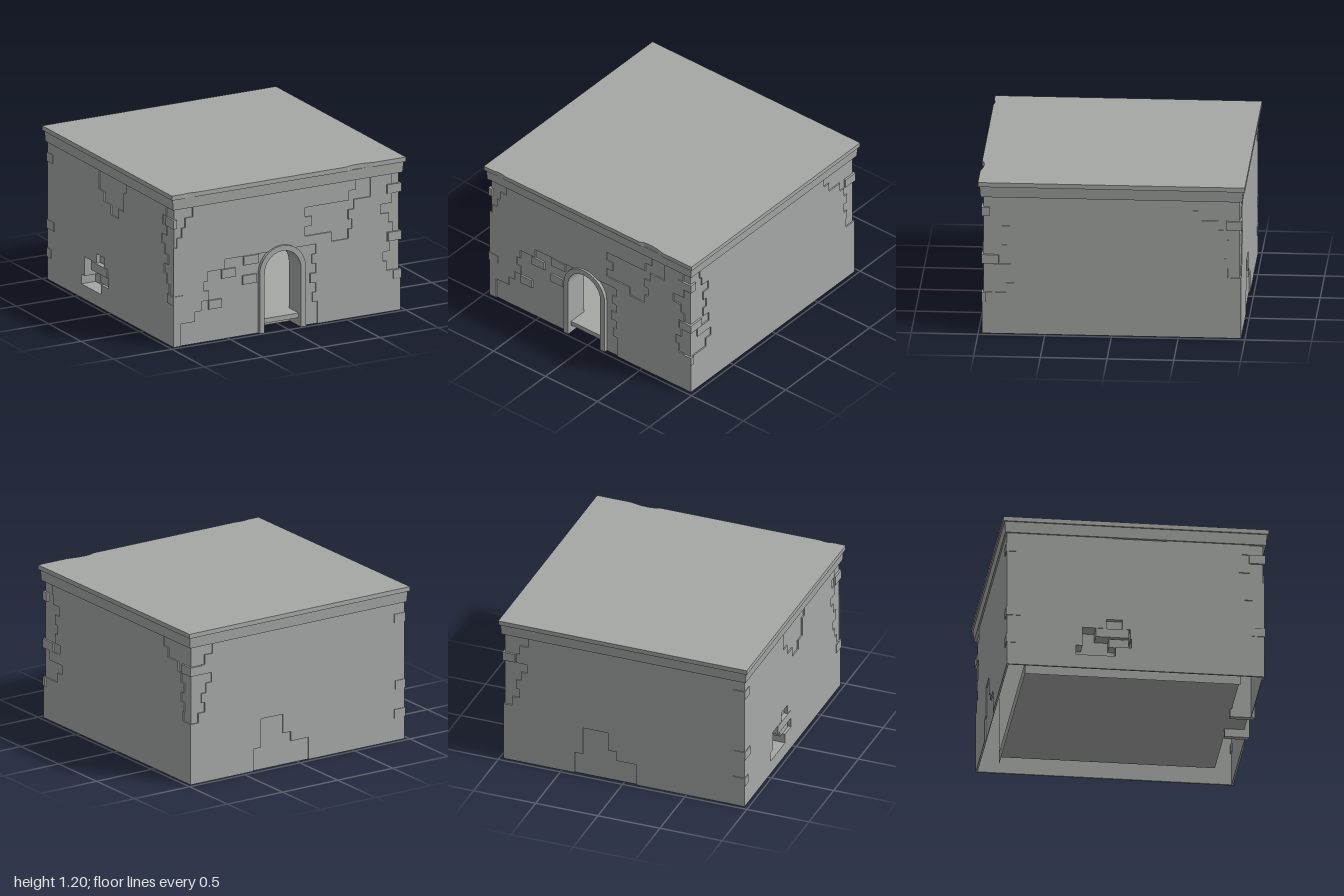
import * as THREE from 'three';

const HALF = 0.97, TOP = 1.08, FACE = 0.96, ROOM = 0.813, FLOOR = 0.063;
const mat = new THREE.MeshStandardMaterial({ color: 0xa5a8a6, side: THREE.DoubleSide, flatShading: true });
// One-sided lining, seen only from the side it faces
const lining = new THREE.MeshStandardMaterial({ color: 0xa5a8a6, flatShading: true });

// Height of the joint above brick course k, counted down from the cornice
const level = k => (k === 0 ? TOP : k >= 13 ? 0 : 1 - 0.075 * (k - 1));

// Stepped edge running downwards, one x per brick course
const steps = (k0, xs) => xs.flatMap((x, i) => [[x, level(k0 + i)], [x, level(k0 + i + 1)]]);
const up = pts => pts.slice().reverse();
const toShape = pts => new THREE.Shape(pts.map(p => new THREE.Vector2(p[0], p[1])));

function add(parent, name, geo, x = 0, y = 0, z = 0, material = mat) {
  const m = new THREE.Mesh(geo, material);
  m.name = name;
  m.position.set(x, y, z);
  parent.add(m);
  return m;
}
const box = (parent, name, x0, x1, y0, y1, z0, z1) => add(parent, name,
  new THREE.BoxGeometry(x1 - x0, y1 - y0, z1 - z0), (x0 + x1) / 2, (y0 + y1) / 2, (z0 + z1) / 2);
const slab = (parent, name, shape, z, depth) => add(parent, name,
  new THREE.ExtrudeGeometry(shape, { depth, bevelEnabled: false }), 0, 0, z);

// Upside-down U outline of the doorway, round head
const DOOR = -0.045, SPRING = 0.467;
function archPoints(r, foot = 0) {
  const pts = [[DOOR - r, foot]];
  for (let i = 0; i <= 20; i++) {
    const a = Math.PI * (1 - i / 20);
    pts.push([DOOR + r * Math.cos(a), SPRING + r * Math.sin(a)]);
  }
  return [...pts, [DOOR + r, foot]];
}

// Each wall is drawn as seen from outside; plaster has broken off along stepped edges.
// bricks: [x0, x1, course, back z, front z]
const walls = [
  {
    name: 'frontWall', turn: 0, door: true,
    left: steps(0, [-0.805, -0.87, -0.9, -0.94]),
    right: steps(0, [0.895, 0.85, 0.9, 0.8, 0.87, 0.905, 0.85, 0.875, 0.82, 0.85, 0.91]),
    bottom: [...up(steps(6, [-0.53, -0.675, -0.71, -0.67, -0.73, -0.785, -0.905])),
      ...steps(6, [0.25, 0.215, 0.25, 0.2, 0.25, 0.22, 0.26])],
    top: [...steps(0, [0.715, 0.715, 0.575, 0.525, 0.555, 0.525]),
      ...up(steps(0, [0.59, 0.53, 0.155, 0.215, 0.155, 0.38]))],
    bricks: [[-0.56, -0.44, 7], [-0.38, -0.26, 8], [-0.37, -0.24, 6], [-0.67, -0.56, 10]]
      .map(b => [...b, 0.958, 0.974]),
  },
  {
    name: 'rightSideWall', turn: Math.PI / 2,
    left: steps(0, [-0.86, -0.84, -0.76, -0.82, -0.785, -0.82, -0.755, -0.89, -0.73, -0.79, -0.94]),
    right: steps(0, [0.61, 0.67, 0.8, 0.845, 0.88, 0.845, 0.88, 0.87]),
    bricks: [],
  },
  {
    name: 'backWall', turn: Math.PI,
    left: steps(0, [-0.77, -0.84, -0.87, -0.78, -0.83, -0.87, -0.84, -0.9]),
    bottom: [...up(steps(9, [-0.33, -0.33, -0.33, -0.4])), ...steps(9, [-0.13, -0.13, -0.06, 0.1])],
    bricks: [],
  },
  {
    name: 'leftSideWall', turn: -Math.PI / 2,
    right: steps(0, [0.85, 0.8, 0.86, 0.78, 0.83, 0.88, 0.82, 0.86, 0.9]),
    top: [...steps(0, [0.24, 0.2, 0.2, 0.12]), ...up(steps(0, [-0.18, -0.18, -0.1, 0]))],
    hole: [...steps(8.9, [-0.22, -0.4, -0.4, -0.45]), ...up(steps(8.9, [-0.1, -0.04, -0.03, -0.15]))],
    bricks: [[-0.23, -0.1, 8.9, 0.86, 0.94], [-0.3, -0.05, 9.9, 0.86, 0.972], [-0.2, -0.05, 10.9, 0.86, 0.95]],
  },
];

function buildWall(w) {
  const g = new THREE.Group();
  g.name = w.name;
  g.rotation.y = w.turn;

  // Thin brick core, cut out for the doorway where there is one
  const core = toShape([[-FACE, 0], ...(w.door ? archPoints(0.175) : []), [FACE, 0], [FACE, TOP], [-FACE, TOP]]);

  // Plaster skin with the missing patches left out
  const skin = toShape([
    [-HALF, 0], ...(w.bottom || []), [HALF, 0],
    ...(w.right ? [[HALF, w.right[w.right.length - 1][1]], ...up(w.right)] : [[HALF, TOP]]),
    ...(w.top || []),
    ...(w.left ? [...w.left, [-HALF, w.left[w.left.length - 1][1]]] : [[-HALF, TOP]]),
  ]);

  // Broken-out cavity: hole through skin and core, stepped sides and a back
  if (w.hole) {
    core.holes.push(toShape(w.hole));
    skin.holes.push(toShape(w.hole));
    const sides = toShape([[-0.5, 0.1], [0.02, 0.1], [0.02, 0.45], [-0.5, 0.45]]);
    sides.holes.push(toShape(w.hole));
    slab(g, 'cavitySides', sides, 0.85, FACE - 0.854);
    box(g, 'cavityBack', -0.5, 0.02, 0.1, 0.45, 0.84, 0.85);
  }
  slab(g, 'brickCore', core, FACE - 0.004, 0.004);
  slab(g, 'plaster', skin, FACE, HALF - FACE);
  for (const [x0, x1, k, z0, z1] of w.bricks)
    box(g, 'looseBrick', x0, x1, level(k + 1) + 0.003, level(k) - 0.003, z0, z1);

  // Room lining facing inwards (drawn mirrored, then turned round)
  const inner = [[-ROOM, 0.1], ...(w.door ? archPoints(0.175, 0.1) : []), [ROOM, 0.1], [ROOM, TOP], [-ROOM, TOP]];
  const room = new THREE.ShapeGeometry(toShape(inner.map(([x, y]) => [-x, y])));
  add(g, 'roomWall', room, 0, 0, ROOM, lining).rotation.y = Math.PI;

  // Skirt hanging from the edge of the floor
  add(g, 'floorSkirt', new THREE.PlaneGeometry(2 * ROOM, FLOOR), 0, FLOOR / 2, ROOM, lining);
  return g;
}

// Roof outline with two chips broken out of the front edge (shape y becomes -z)
const roofShape = toShape([
  [-1, -1], [-0.9, -1], [-0.87, -0.992], [-0.83, -0.993], [-0.79, -1],
  [0.5, -1], [0.53, -0.985], [0.58, -0.979], [0.65, -0.983], [0.73, -1],
  [1, -1], [1, 1], [-1, 1],
]);

export function createModel() {
  const model = new THREE.Group();
  model.name = 'house';

  const wallGroup = new THREE.Group();
  wallGroup.name = 'walls';
  walls.forEach(w => wallGroup.add(buildWall(w)));
  model.add(wallGroup);

  // Corner bricks: [side x, side z, course, length along x, length along z]
  const corners = new THREE.Group();
  corners.name = 'cornerBricks';
  const list = [
    [1, 1, 1, 0.12, 0.06], [1, 1, 6, 0.11, 0.13], [1, 1, 10, 0.07, 0.03],
    [-1, 1, 9, 0.09, 0.1], [-1, 1, 1, 0.03, 0.12],
    [1, -1, 2, 0.1, 0.12],
    [-1, -1, 1, 0.1, 0.09], [-1, -1, 8, 0.09, 0.11], [-1, -1, 11, 0.1, 0.07],
  ];
  for (const [sx, sz, k, lx, lz] of list) {
    const h = level(k) - level(k + 1) - 0.006, out = 0.976;
    add(corners, 'cornerBrick', new THREE.BoxGeometry(lx, h, lz),
      sx * (out - lx / 2), (level(k) + level(k + 1)) / 2, sz * (out - lz / 2));
  }
  model.add(corners);

  // Arched door surround and its step
  slab(model, 'doorFrame', toShape([...archPoints(0.197), ...up(archPoints(0.155))]), 0.8, 0.187);
  box(model, 'doorStep', DOOR - 0.155, DOOR + 0.155, FLOOR, 0.1, ROOM, 0.95);

  // Floor of the room
  box(model, 'floor', -ROOM, ROOM, FLOOR, 0.1, -ROOM, ROOM);

  // Cornice and flat roof
  const cornice = add(model, 'cornice',
    new THREE.CylinderGeometry(0.988 * Math.SQRT2, 0.982 * Math.SQRT2, 1.165 - TOP, 4), 0, (1.165 + TOP) / 2, 0);
  cornice.rotation.y = Math.PI / 4;
  const roof = slab(model, 'roof', roofShape, 0, 0.035);
  roof.rotation.x = -Math.PI / 2;
  roof.position.y = 1.165;
  return model;
}
